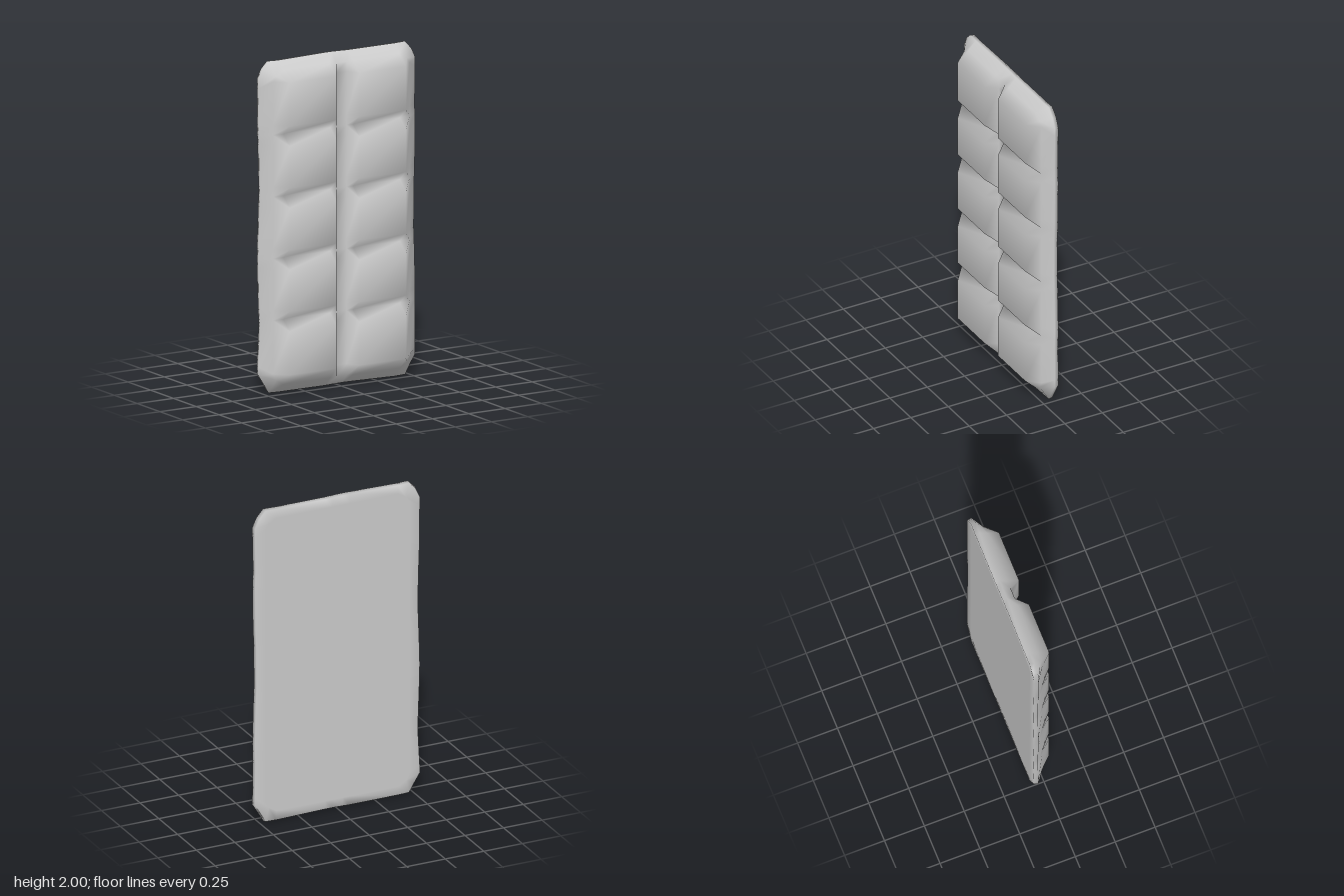
import * as THREE from 'three';

// Cross profiles: position and height pairs across the width and along the length
const across = [[-0.54, -0.05], [-0.47, 0], [-0.40, 0.072], [-0.08, 0.072], [-0.035, 0],
  [0.035, 0], [0.08, 0.072], [0.40, 0.072], [0.47, 0], [0.54, -0.05]];
const along = [[0, -0.05], [0.06, 0], [0.13, 0.072]];
for (const groove of [0.45, 0.82, 1.19, 1.56]) {
  along.push([groove - 0.06, 0.072], [groove, 0.003], [groove + 0.06, 0.072]);
}
along.push([1.88, 0.072], [1.94, 0], [2, -0.05]);

const BACK = -0.077;

export function createModel() {
  const group = new THREE.Group();
  const nx = across.length, ny = along.length;
  const positions = [], indices = [];

  // Grid point with chamfered corners and a slightly uneven rim
  function place(i, j) {
    let [x] = across[i], [y] = along[j];
    const sx = Math.sign(x), sy = y < 1 ? 1 : -1;
    const ex = Math.min(i, nx - 1 - i), ey = Math.min(j, ny - 1 - j);
    const k = sy > 0 ? 1 : 0.75;
    if (ex === 0 && ey === 0) { x -= sx * 0.035 * k; y += sy * 0.065 * k; }
    else if (ex === 0 && ey === 1) y += sy * 0.06 * k;
    else if (ex === 0 && ey === 2) y += sy * 0.04;
    else if (ex === 1 && ey === 1) { x -= sx * 0.02; y += sy * 0.03; }
    else if (ex === 0) x -= sx * 0.006 * (1 + Math.sin(y * 7 + sx));
    else if (ey === 0) y += sy * 0.004 * (1 + Math.sin(x * 11 + sy));
    return [x, y];
  }

  // Front layer of segments, then the flat back layer
  for (const back of [false, true]) {
    for (let j = 0; j < ny; j++) for (let i = 0; i < nx; i++) {
      const [x, y] = place(i, j);
      const s = back ? 0.99 : 1;
      const z = back ? BACK : Math.min(across[i][1], along[j][1]);
      positions.push(x * s, 1 + (y - 1) * (back ? 0.995 : 1), z);
    }
  }
  const id = (i, j, back = 0) => back * nx * ny + j * nx + i;
  const height = (v) => positions[v * 3 + 2];

  // Faces, with each diagonal running along the hip of its cell
  for (let j = 0; j < ny - 1; j++) for (let i = 0; i < nx - 1; i++) {
    const a = id(i, j), b = id(i + 1, j), c = id(i + 1, j + 1), d = id(i, j + 1);
    if (Math.abs(height(a) - height(c)) >= Math.abs(height(b) - height(d))) indices.push(a, b, c, a, c, d);
    else indices.push(a, b, d, b, c, d);
    const n = nx * ny;
    indices.push(a + n, c + n, b + n, a + n, d + n, c + n);
  }

  // Rim joining both layers, walked anticlockwise as seen from the front
  const loop = [];
  for (let i = 0; i < nx - 1; i++) loop.push([i, 0]);
  for (let j = 0; j < ny - 1; j++) loop.push([nx - 1, j]);
  for (let i = nx - 1; i > 0; i--) loop.push([i, ny - 1]);
  for (let j = ny - 1; j > 0; j--) loop.push([0, j]);
  loop.forEach(([i, j], n) => {
    const [p, q] = loop[(n + 1) % loop.length];
    const a = id(i, j), b = id(p, q), a2 = id(i, j, 1), b2 = id(p, q, 1);
    indices.push(a, a2, b2, a, b2, b);
  });

  const geometry = new THREE.BufferGeometry();
  geometry.setAttribute('position', new THREE.Float32BufferAttribute(positions, 3));
  geometry.setIndex(indices);
  geometry.computeVertexNormals();

  const bar = new THREE.Mesh(geometry, new THREE.MeshStandardMaterial({ color: 0xcccccc }));
  bar.name = 'segmentedBar';
  group.add(bar);
  return group;
}
